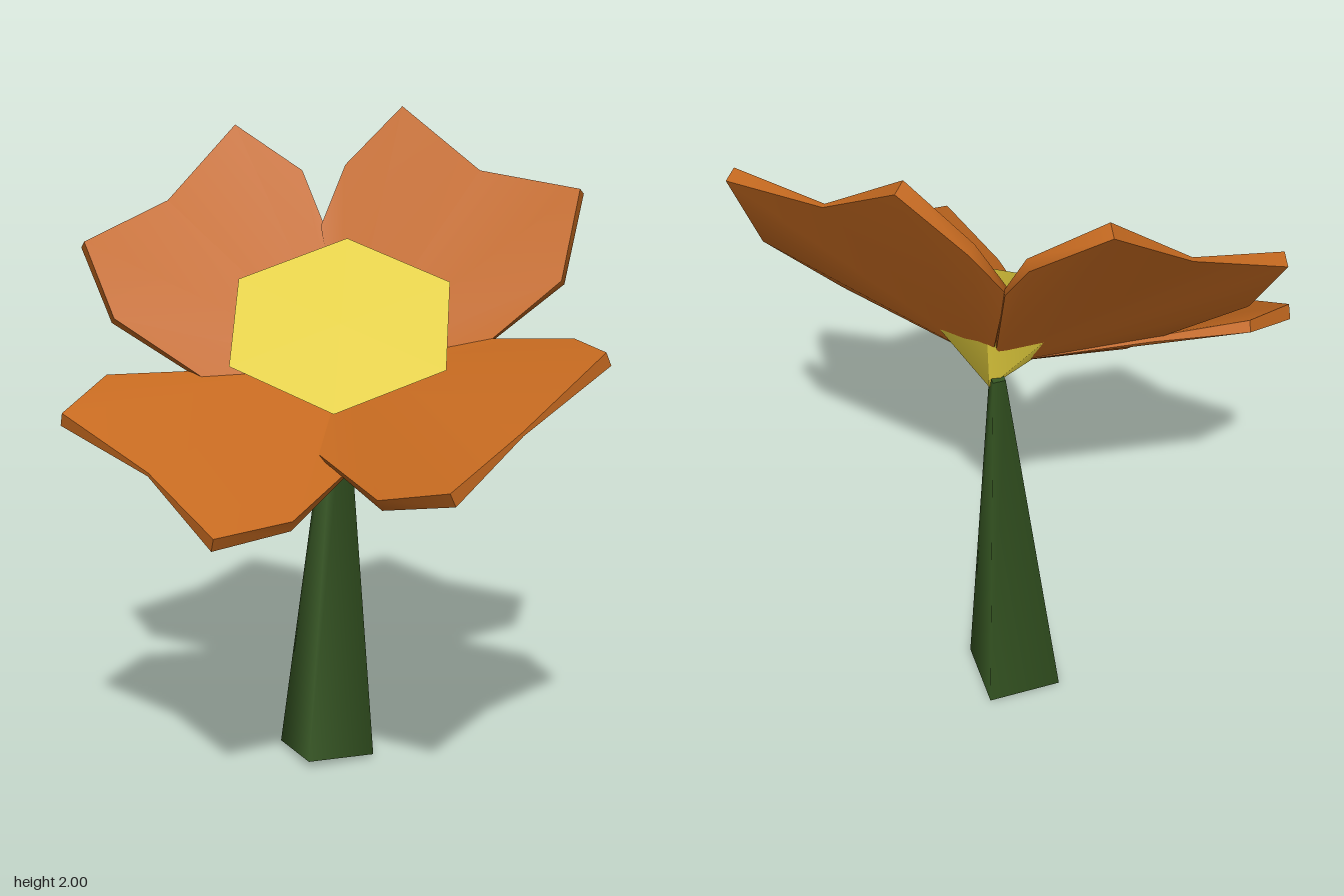
import * as THREE from 'three';
import { toCreasedNormals } from 'three/addons/utils/BufferGeometryUtils.js';

const orange = new THREE.MeshStandardMaterial({ name: 'petal orange', color: 0xc66a20 });
const yellow = new THREE.MeshStandardMaterial({ name: 'centre yellow', color: 0xe0cb3c });
const green = new THREE.MeshStandardMaterial({ name: 'stem green', color: 0x355522 });

const BASE = [0, 1.24, -0.285]; // where all petals meet inside the centre
// Thickness at base, side, shoulder, lobe, notch, lobe, shoulder, side
const THICKNESS = [0.015, 0.015, 0.035, 0.045, 0.012, 0.045, 0.035, 0.015];

// Front outlines, anticlockwise: side, shoulder, lobe, notch, lobe, shoulder, side
const PETALS = {
  upperLeftPetal: [
    [0.45, 1.36, -0.18], [0.65, 1.53, -0.215], [0.7, 1.79, -0.31], [0.4, 1.82, -0.475],
    [0.155, 2.0, -0.597], [-0.02, 1.82, -0.577], [-0.09, 1.64, -0.5],
  ],
  upperRightPetal: [
    [-0.08, 1.64, -0.51], [-0.155, 1.8, -0.585], [-0.365, 1.94, -0.587], [-0.55, 1.73, -0.39],
    [-0.77, 1.635, -0.175], [-0.67, 1.42, -0.09], [-0.34, 1.2, -0.09],
  ],
  lowerRightPetal: [
    [-0.42, 1.26, -0.12], [-0.68, 1.27, 0], [-0.775, 1.2, 0.2], [-0.5, 1.075, 0.37],
    [-0.29, 0.95, 0.578], [-0.085, 0.97, 0.46], [0.05, 1.04, 0.16],
  ],
  lowerLeftPetal: [
    [-0.04, 1.08, 0.15], [0.15, 1.04, 0.475], [0.352, 1.11, 0.637], [0.54, 1.21, 0.36],
    [0.77, 1.405, 0.2], [0.685, 1.4, -0.01], [0.45, 1.36, -0.18],
  ],
};

// Thin folded petal: a fan from the base, a matching back and a rim between them
function petalGeometry(outline) {
  const front = [BASE, ...outline].map((p) => new THREE.Vector3(...p));
  const normal = new THREE.Vector3();
  for (let i = 1; i < front.length - 1; i++) {
    const a = front[i].clone().sub(front[0]);
    normal.add(a.cross(front[i + 1].clone().sub(front[0])));
  }
  normal.normalize();
  const back = front.map((p, i) => p.clone().addScaledVector(normal, -THICKNESS[i]));

  const n = front.length;
  const index = [];
  for (let i = 1; i < n - 1; i++) index.push(0, i, i + 1, n, n + i + 1, n + i);
  for (let i = 0; i < n; i++) {
    const j = (i + 1) % n;
    index.push(i, n + i, n + j, i, n + j, j);
  }
  const geometry = new THREE.BufferGeometry().setFromPoints([...front, ...back]);
  geometry.setIndex(index);
  return toCreasedNormals(geometry, 0.7);
}

export function createModel() {
  const flower = new THREE.Group();
  flower.name = 'flower';

  // Tapered four-sided stem, slightly twisted and leaning back
  const foot = new THREE.Vector3(-0.052, 0.01, -0.247);
  const top = new THREE.Vector3(-0.022, 1.21, -0.33);
  const axis = top.clone().sub(foot);
  const stemShape = new THREE.CylinderGeometry(0.026, 0.157, axis.length(), 4);
  stemShape.rotateY(-0.28);
  const stem = new THREE.Mesh(stemShape, green);
  stem.name = 'stem';
  stem.position.copy(foot).add(top).multiplyScalar(0.5);
  stem.quaternion.setFromUnitVectors(new THREE.Vector3(0, 1, 0), axis.normalize());
  flower.add(stem);

  // Six-sided centre: flat face tilted forward, tapering to a point on the stem
  const depth = 0.3;
  const coneShape = new THREE.CylinderGeometry(1, 0, depth, 6);
  coneShape.translate(0, -depth / 2, 0).scale(0.368, 1, 0.33);
  const centre = new THREE.Mesh(coneShape, yellow);
  centre.name = 'centre';
  centre.position.set(0, 1.405, -0.14);
  centre.rotation.x = 0.71;
  flower.add(centre);

  // Four notched petals
  for (const [name, outline] of Object.entries(PETALS)) {
    const petal = new THREE.Mesh(petalGeometry(outline), orange);
    petal.name = name;
    flower.add(petal);
  }
  return flower;
}
